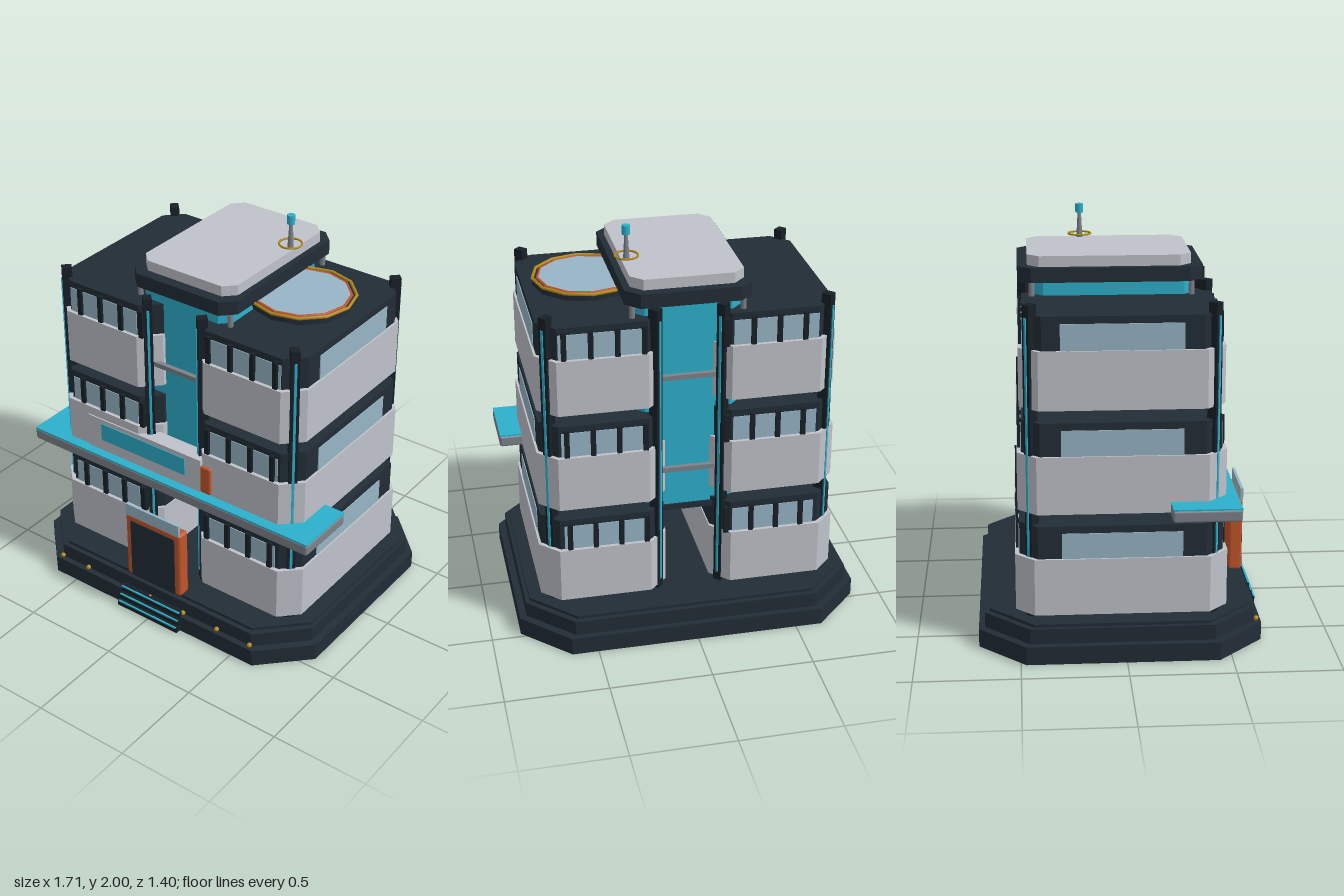
import * as THREE from 'three';
import { RoundedBoxGeometry } from 'three/addons/geometries/RoundedBoxGeometry.js';

const mat = (name, color) => {
  const m = new THREE.MeshStandardMaterial({ color });
  m.name = name;
  return m;
};

export function createModel() {
  const dark = mat('dark slate', 0x222d36);
  const black = mat('dark trim', 0x182026);
  const wall = mat('pale wall', 0xbfc2ca);
  const cyan = mat('cyan', 0x2db0cc);
  const glass = mat('window glass', 0x97b5c6);
  const orange = mat('orange', 0xc0542a);
  const gold = mat('gold', 0xb48a18);
  const grey = mat('metal grey', 0x7d838b);

  const model = new THREE.Group();
  model.name = 'building';
  const add = (name, geo, m, x = 0, y = 0, z = 0, parent = model) => {
    const mesh = new THREE.Mesh(geo, m);
    mesh.name = name;
    mesh.position.set(x, y, z);
    parent.add(mesh);
    return mesh;
  };
  // box given by its limits
  const box = (name, m, x0, x1, y0, y1, z0, z1) =>
    add(name, new THREE.BoxGeometry(x1 - x0, y1 - y0, z1 - z0), m, (x0 + x1) / 2, (y0 + y1) / 2, (z0 + z1) / 2);
  // upright prism with four cut corners
  const prism = (name, m, x0, x1, y0, y1, z0, z1, c) => {
    const pts = [[x0 + c, z1], [x1 - c, z1], [x1, z1 - c], [x1, z0 + c], [x1 - c, z0], [x0 + c, z0], [x0, z0 + c], [x0, z1 - c]];
    const shape = new THREE.Shape(pts.map(([x, z]) => new THREE.Vector2(x, -z)));
    const geo = new THREE.ExtrudeGeometry(shape, { depth: y1 - y0, bevelEnabled: false });
    return add(name, geo.rotateX(-Math.PI / 2), m, 0, y0, 0);
  };

  // stepped plinth
  prism('plinthLower', dark, -0.855, 0.855, 0, 0.09, -0.7, 0.665, 0.225);
  prism('plinthMiddle', dark, -0.82, 0.82, 0.09, 0.165, -0.67, 0.635, 0.215);
  prism('plinthUpper', dark, -0.8, 0.8, 0.165, 0.18, -0.645, 0.61, 0.21);

  // entrance steps with lit edges
  [[0.005, 0.035, 0.7], [0.04, 0.07, 0.685], [0.08, 0.11, 0.67]].forEach(([y0, y1, z]) => {
    box('step', black, -0.19, 0.19, y0, y1, 0.6, z - 0.002);
    box('stepLight', cyan, -0.185, 0.185, y1 - 0.006, y1 + 0.001, z - 0.008, z);
  });
  for (const x of [-0.605, -0.43, -0.02, 0.19, 0.4, 0.6])
    add('plinthLamp', new THREE.SphereGeometry(0.013, 8, 6), gold, x, 0.1, 0.643);

  // floors: wall band, dark window band, glass and mullions on both wings
  const floors = [
    { y: 0.2, x: 0.74, z0: -0.52, z1: 0.49 },
    { y: 0.7, x: 0.732, z0: -0.505, z1: 0.48 },
    { y: 1.2, x: 0.724, z0: -0.492, z1: 0.468 },
  ];
  for (const f of floors) {
    const top = f.y + 0.28, dz0 = f.z0 + 0.022, dz1 = f.z1 - 0.022, dx = f.x - 0.012;
    for (const s of [-1, 1]) {
      const span = (a, b) => (s > 0 ? [a, b] : [-b, -a]);
      prism('wallBand', wall, ...span(0.11, f.x), f.y, top, f.z0, f.z1, 0.09);
      prism('windowBand', dark, ...span(0.115, dx), top, top + 0.16, dz0, dz1, 0.085);
      const [sx0, sx1] = span(dx - 0.003, dx + 0.004);
      box('sideWindow', glass, sx0, sx1, top, top + 0.125, -0.3, 0.27);
      const [wx0, wx1] = span(0.21, 0.622);
      box('frontWindow', glass, wx0, wx1, top, top + 0.125, dz1 - 0.003, dz1 + 0.004);
      box('backWindow', glass, wx0, wx1, top, top + 0.125, dz0 - 0.004, dz0 + 0.003);
      for (let i = 0; i < 4; i++) {
        const x = (s > 0 ? 0.218 : -0.555) + i * 0.126;
        box('frontMullion', black, x - 0.012, x + 0.012, top, top + 0.14, dz1 - 0.01, dz1 + 0.018);
        box('backMullion', black, x - 0.012, x + 0.012, top, top + 0.14, dz0 - 0.018, dz0 + 0.01);
      }
    }
  }

  // corner columns with a cyan light strip on the outer face
  for (const sx of [-1, 1]) for (const sz of [-1, 1]) for (const inner of [false, true]) {
    const column = new THREE.Group();
    column.name = 'column';
    column.position.set(sx * (inner ? 0.162 : 0.672), 0, sz > 0 ? (inner ? 0.425 : 0.413) : (inner ? -0.452 : -0.438));
    column.rotation.y = Math.atan2(inner ? -sx : sx, sz);
    add('post', new THREE.BoxGeometry(0.042, 1.51, 0.05), black, 0, 0.935, 0, column);
    add('lightStrip', new THREE.BoxGeometry(0.012, 1.4, 0.008), cyan, 0, 0.93, 0.026, column);
    model.add(column);
  }

  // central glazed core, its base and cross rails
  prism('core', cyan, -0.265, 0.255, 0.62, 1.72, -0.415, 0.36, 0.05);
  prism('coreBase', dark, -0.275, 0.265, 0.59, 0.62, -0.425, 0.37, 0.05);
  for (const y of [0.83, 1.325]) for (const z of [-0.44, 0.4])
    box('rail', grey, -0.14, 0.14, y - 0.012, y + 0.012, z - 0.012, z + 0.012);

  // core roof on small posts
  prism('roofSlab', dark, -0.305, 0.3, 1.71, 1.78, -0.488, 0.4, 0.065);
  prism('roofCap', wall, -0.272, 0.268, 1.78, 1.832, -0.44, 0.345, 0.055);
  for (const x of [-0.265, 0.265]) for (const z of [-0.42, 0.345])
    add('roofPost', new THREE.CylinderGeometry(0.014, 0.014, 0.08, 8), grey, x, 1.675, z);

  // antenna
  add('antennaMast', new THREE.CylinderGeometry(0.008, 0.016, 0.14, 8), grey, 0.242, 1.895, -0.17);
  add('antennaTip', new THREE.CylinderGeometry(0.02, 0.02, 0.045, 10), cyan, 0.242, 1.9775, -0.17);
  add('antennaRing', new THREE.TorusGeometry(0.056, 0.005, 6, 16).rotateX(Math.PI / 2), gold, 0.242, 1.85, -0.17);

  // round roof pad, twelve-sided
  const disc = (r, h) => new THREE.CylinderGeometry(r, r, h, 12).rotateY(Math.PI / 6 * 3);
  const ring = (r, t) => new THREE.TorusGeometry(r, t, 6, 12).rotateX(Math.PI / 2);
  add('padBase', disc(0.255, 0.03), dark, 0.418, 1.69, -0.02);
  add('padGlass', disc(0.226, 0.006), glass, 0.418, 1.708, -0.02);
  add('padOrangeRing', ring(0.23, 0.008), orange, 0.418, 1.706, -0.02);
  add('padGoldRing', ring(0.254, 0.008), gold, 0.418, 1.708, -0.02);

  // wide canopy
  add('canopy', new RoundedBoxGeometry(1.69, 0.06, 0.325, 1, 0.012), grey, 0, 0.716, 0.3725);
  box('canopyTop', cyan, -0.843, 0.843, 0.744, 0.752, 0.212, 0.534);

  // sign above the canopy
  box('signBoard', wall, -0.515, 0.19, 0.75, 0.935, 0.4, 0.487);
  box('signScreen', cyan, -0.43, 0.095, 0.815, 0.91, 0.485, 0.491);
  add('signEnd', new RoundedBoxGeometry(0.06, 0.15, 0.07, 1, 0.008), orange, 0.222, 0.835, 0.46);

  // entrance portal
  add('portalFrame', new RoundedBoxGeometry(0.342, 0.375, 0.068, 1, 0.014), orange, -0.003, 0.3675, 0.596);
  box('door', dark, -0.14, 0.134, 0.185, 0.522, 0.625, 0.634);
  box('portalGlass', glass, -0.168, 0.162, 0.55, 0.615, 0.618, 0.632);

  return model;
}
